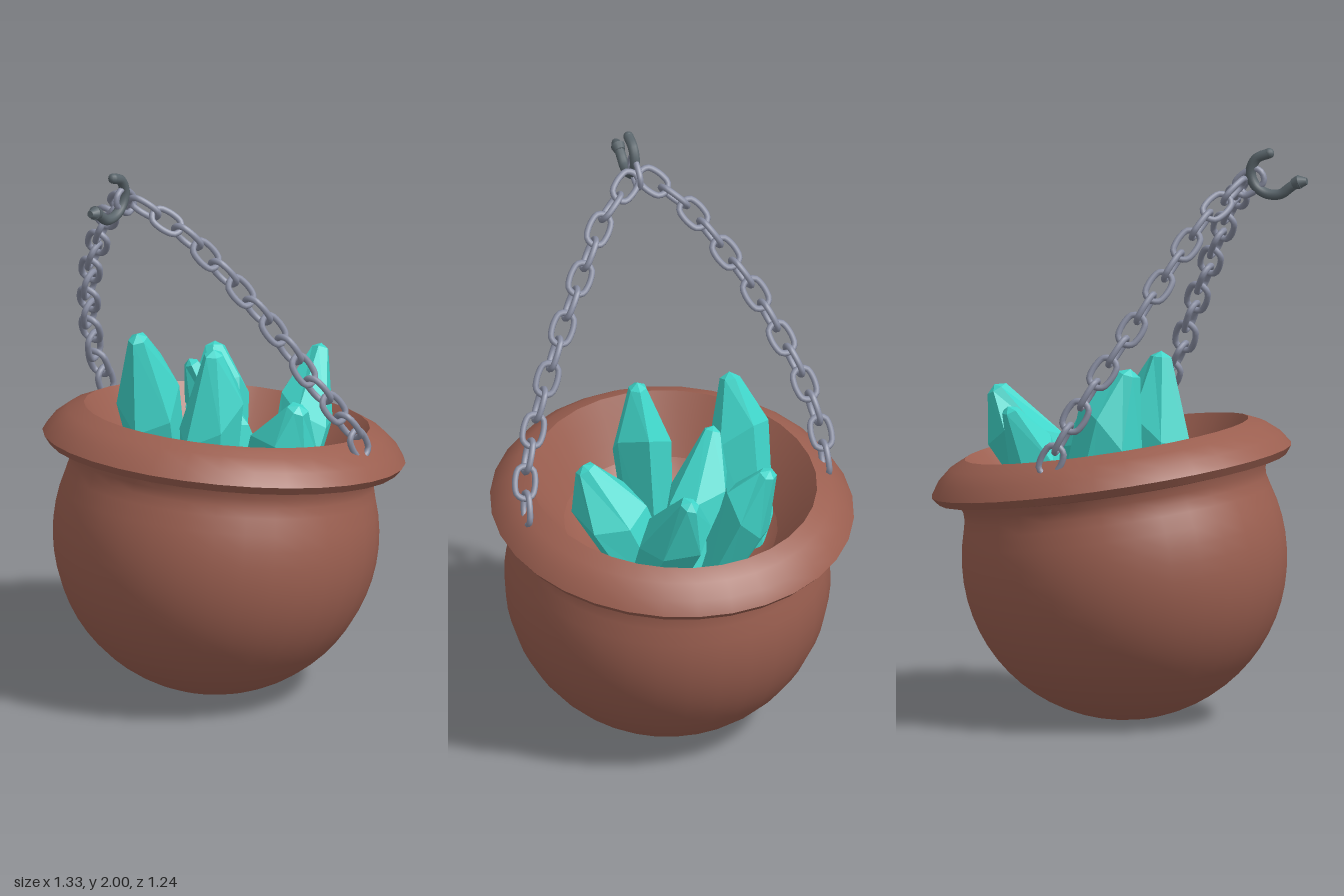
import * as THREE from 'three';

const V = (x, y, z) => new THREE.Vector3(x, y, z);
const paint = (color, extra = {}) => new THREE.MeshStandardMaterial({ color, ...extra });

function add(parent, name, geometry, material) {
  const mesh = new THREE.Mesh(geometry, material);
  mesh.name = name;
  parent.add(mesh);
  return mesh;
}

// Faceted crystal from base to tip, with an uneven shoulder and a small blunt point
function crystalGeometry(base, tip, radius, seed) {
  const axis = tip.clone().sub(base);
  const length = axis.length();
  const profile = [[0, 0], [0.75, 0], [1, 0.62], [0.3, 0.97], [0, 1]];
  const geo = new THREE.LatheGeometry(profile.map(([r, h]) => new THREE.Vector2(r * radius, h * length)), 6);
  const pos = geo.attributes.position;
  for (let i = 0; i < pos.count; i++) {
    const x = pos.getX(i), y = pos.getY(i), z = pos.getZ(i);
    const a = Math.atan2(z, x);
    const k = 1 + 0.12 * Math.sin(2 * a + seed);
    const shoulder = y > 0.5 * length && y < 0.8 * length;
    pos.setXYZ(i, x * k, shoulder ? y + 0.13 * length * Math.sin(a + seed * 2) : y, z * k);
  }
  geo.rotateY(seed);
  geo.applyQuaternion(new THREE.Quaternion().setFromUnitVectors(V(0, 1, 0), axis.normalize()));
  geo.translate(base.x, base.y, base.z);
  return geo;
}

// Oval chain link, long along x, lying in the xy plane
function linkGeometry() {
  const pts = [[0.056, 0], [0.044, 0.027], [0.018, 0.035], [-0.018, 0.035],
    [-0.056, 0], [-0.044, 0.027], [-0.044, -0.027], [-0.018, -0.035], [0.018, -0.035], [0.044, -0.027]];
  pts.sort((p, q) => Math.atan2(p[1], p[0]) - Math.atan2(q[1], q[0]));
  const path = new THREE.CatmullRomCurve3(pts.map(([x, y]) => V(x, y, 0)), true);
  return new THREE.TubeGeometry(path, 24, 0.011, 8, true);
}

export function createModel() {
  const model = new THREE.Group();
  model.name = 'hangingCrystalPot';
  const clay = paint(0x9b5f50, { side: THREE.DoubleSide });
  const gem = paint(0x40d6ca, { flatShading: true });
  const steel = paint(0x8a8fa3);
  const iron = paint(0x59646a);

  // Tilted round pot, with separate lathes where the edges are sharp
  const pot = new THREE.Group();
  pot.name = 'pot';
  pot.position.set(0, 0.56, 0);
  pot.rotation.z = -0.155;
  model.add(pot);
  const lathe = (name, pts) => add(pot, name,
    new THREE.LatheGeometry(pts.map(([r, y]) => new THREE.Vector2(r, y)), 32), clay);

  const body = [];
  for (let i = 0; i <= 18; i++) {
    const a = -Math.PI / 2 + (i / 18) * (Math.PI / 2 + 0.31);
    body.push([Math.max(0, 0.557 * Math.cos(a)), 0.557 * Math.sin(a)]);
  }
  lathe('potBody', [...body, [0.522, 0.205], [0.523, 0.235], [0.535, 0.265]]);
  lathe('rimUnderside', [[0.525, 0.262], [0.6, 0.272]]);
  lathe('rimEdge', [[0.6, 0.272], [0.622, 0.3]]);
  lathe('rimTop', [[0.622, 0.3], [0.592, 0.345], [0.545, 0.385], [0.49, 0.41]]);
  lathe('innerWall', [[0.49, 0.41], [0.45, 0.35], [0.405, 0.28], [0.365, 0.22]]);
  lathe('innerBowl', [[0.365, 0.22], [0.31, 0.16], [0.22, 0.11], [0.11, 0.085], [0, 0.08]]);

  // Crystals: base, tip, radius
  const crystals = new THREE.Group();
  crystals.name = 'crystals';
  model.add(crystals);
  [
    [V(0.08, 0.62, -0.27), V(-0.1, 1.25, -0.26), 0.12],
    [V(0.17, 0.62, -0.1), V(0.34, 1.1, -0.25), 0.105],
    [V(0.2, 0.62, 0.05), V(0.05, 1.14, -0.15), 0.095],
    [V(-0.09, 0.62, 0.03), V(-0.11, 1.265, 0.07), 0.115],
    [V(0.12, 0.62, 0.1), V(0.04, 1.07, 0.32), 0.115],
    [V(0.2, 0.62, 0.14), V(0.49, 1.12, 0.09), 0.11],
  ].forEach(([base, tip, r], i) => add(crystals, 'crystal', crystalGeometry(base, tip, r, 0.7 + i * 1.3), gem));

  // Two chains rising from the rim to the hook, with every other link turned
  const link = linkGeometry();
  const planeNormal = V(0.87, 0.5, 0).normalize();
  const placeLink = (parent, at, along, turned) => {
    const n = planeNormal.clone().addScaledVector(along, -planeNormal.dot(along)).normalize();
    const side = n.clone().cross(along);
    const basis = turned
      ? new THREE.Matrix4().makeBasis(along, n, side.negate())
      : new THREE.Matrix4().makeBasis(along, side, n);
    const mesh = add(parent, 'chainLink', link, steel);
    mesh.quaternion.setFromRotationMatrix(basis);
    mesh.position.copy(at);
  };
  const chains = {
    frontChain: [V(0.085, 0.965, 0.54), V(0.04, 1.04, 0.53), V(-0.06, 1.2, 0.46), V(-0.13, 1.36, 0.38),
      V(-0.2, 1.5, 0.3), V(-0.28, 1.65, 0.2), V(-0.36, 1.78, 0.1), V(-0.42, 1.855, 0)],
    backChain: [V(0.1, 0.965, -0.535), V(0.055, 1.05, -0.535), V(-0.04, 1.22, -0.5), V(-0.13, 1.37, -0.44),
      V(-0.2, 1.5, -0.38), V(-0.27, 1.63, -0.3), V(-0.35, 1.77, -0.2), V(-0.42, 1.855, -0.1)],
  };
  for (const [name, pts] of Object.entries(chains)) {
    const chain = new THREE.Group();
    chain.name = name;
    model.add(chain);
    const curve = new THREE.CatmullRomCurve3(pts);
    const count = Math.round(curve.getLength() / 0.09);
    for (let i = 0; i <= count; i++) {
      placeLink(chain, curve.getPointAt(i / count), curve.getTangentAt(i / count), i % 2 === 0);
    }
  }
  placeLink(model, V(-0.46, 1.88, -0.05), V(-0.8, 0.6, 0), true);

  // Open hook with a flared end
  const hook = new THREE.Group();
  hook.name = 'hook';
  hook.position.z = -0.05;
  model.add(hook);
  const hookPath = new THREE.CatmullRomCurve3([[-0.53, 1.982], [-0.485, 1.962], [-0.464, 1.915], [-0.48, 1.87],
    [-0.52, 1.843], [-0.57, 1.843], [-0.605, 1.868], [-0.63, 1.885]].map(([x, y]) => V(x, y, 0)));
  add(hook, 'hookBend', new THREE.TubeGeometry(hookPath, 32, 0.018, 10), iron);
  add(hook, 'hookTip', new THREE.SphereGeometry(0.018, 10, 8), iron).position.set(-0.53, 1.982, 0);
  const collar = add(hook, 'hookCollar', new THREE.CylinderGeometry(0.025, 0.019, 0.025, 10), iron);
  collar.position.set(-0.627, 1.884, 0);
  collar.rotation.z = 1.2;
  const barb = add(hook, 'hookPoint', new THREE.CylinderGeometry(0.012, 0.024, 0.03, 10), iron);
  barb.position.set(-0.65, 1.889, 0);
  barb.rotation.z = 1.4;

  return model;
}
